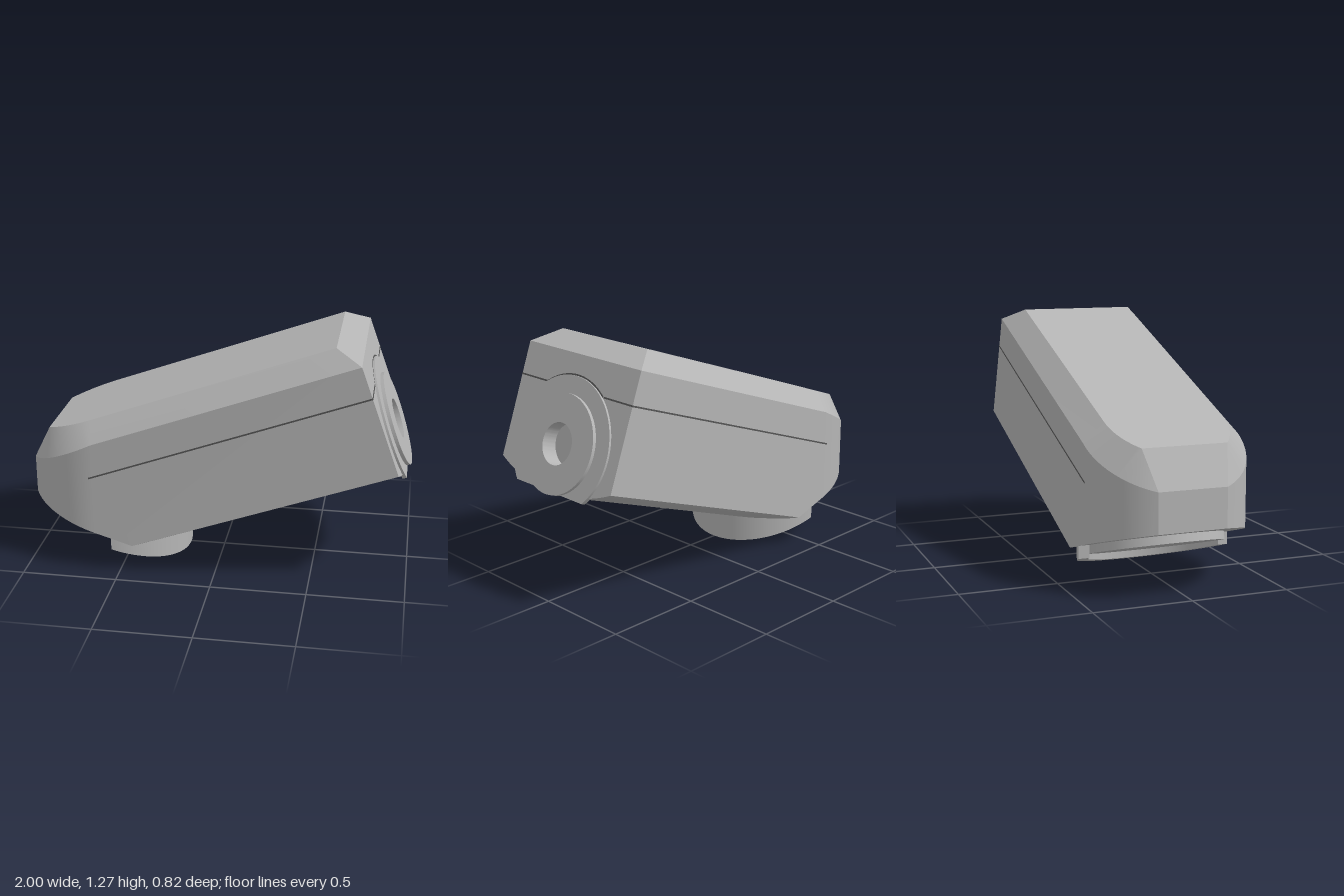
import * as THREE from 'three';
import { toCreasedNormals } from 'three/addons/utils/BufferGeometryUtils.js';
import { ConvexGeometry } from 'three/addons/geometries/ConvexGeometry.js';

const TILT = THREE.MathUtils.degToRad(20);
const C = Math.cos(TILT), S = Math.sin(TILT);
const HALF = 0.41;          // half width of the body
const HOLE = 0.105, HOLE_V = 0.44;

// Height of the rounded underside across the width (tilted frame)
const belly = z => 0.2 + 0.98 - Math.sqrt(0.98 * 0.98 - z * z);

export function createModel() {
  const shell = new THREE.MeshStandardMaterial({ color: 0xb4b4b4 });
  shell.name = 'shell grey';
  const dark = new THREE.MeshStandardMaterial({ color: 0x555555 });
  dark.name = 'seam grey';

  const root = new THREE.Group();
  root.name = 'housing';
  const tilted = new THREE.Group();   // local x runs along the body, y across it
  tilted.name = 'tiltedBody';
  tilted.rotation.z = TILT;
  root.add(tilted);

  const add = (parent, name, geo, mat = shell) => {
    const mesh = new THREE.Mesh(geo, mat);
    mesh.name = name;
    parent.add(mesh);
    return mesh;
  };
  const smooth = geo => toCreasedNormals(geo, 0.35);

  // Main body: a convex hull with chamfered top, rounded nose and curved belly
  const points = [];
  const local = (u, v, z) => points.push(new THREE.Vector3(u, v, z));
  const world = (x, y, z) => local(C * x + S * y, C * y - S * x, z);
  const onPlane = (x, v, z) => world(x, (v + S * x) / C, z);
  const N = 16;
  for (const side of [-1, 1]) {
    local(0.996, 0.985, side * 0.31);
    local(1.1, 0.885, side * HALF);
    for (let i = 0; i <= N; i++) {
      const a = Math.asin(0.25 / 0.355) * i / N;       // top face edge
      onPlane(-0.65 - 0.355 * Math.sin(a), 0.985, side * 0.31 * Math.cos(a));
      const b = Math.asin(0.37 / HALF) * i / N;        // upright nose wall
      const x = -0.63 - HALF * Math.sin(b), z = side * HALF * Math.cos(b);
      onPlane(x, 0.885 + 0.045 * (x + 0.63) / 0.37, z);
      world(x, 0.019 - 0.31 * x, z);
    }
  }
  for (let i = 0; i <= 24; i++) {
    const z = HALF * (i / 12 - 1), v = belly(z);
    local(1.02, v, z);
    onPlane((0.019 * C - v) / (S + 0.31 * C), v, z);
  }
  add(tilted, 'body', smooth(new ConvexGeometry(points)));

  // Plates on the end face are drawn in (z, v) and extruded along the body
  const endPlate = (name, shape, from, to) => {
    shape.holes.push(new THREE.Path().absarc(0, HOLE_V, HOLE, 0, Math.PI * 2, true));
    const geo = new THREE.ExtrudeGeometry(shape, {
      depth: to - from, bevelEnabled: false, curveSegments: 48 });
    geo.rotateY(Math.PI / 2).translate(from, 0, 0);
    add(tilted, name, smooth(geo));
  };
  const wall = new THREE.Shape();
  wall.moveTo(HALF, 0.885).lineTo(-HALF, 0.885);
  for (let i = 0; i <= 24; i++) {
    const z = HALF * (i / 12 - 1);
    wall.lineTo(z, belly(z));
  }
  endPlate('endWall', wall, 1.0, 1.1);

  const cut = Math.asin(0.235 / 0.34);   // outer ring is cut flat at the belly
  const ring = new THREE.Shape().absarc(0, HOLE_V, 0.34, -cut, Math.PI + cut, false);
  endPlate('outerRing', ring, 1.09, 1.112);
  endPlate('innerRing',
    new THREE.Shape().absarc(0, HOLE_V, 0.25, 0, Math.PI * 2, false), 1.1, 1.13);

  // Seam lines along both sides, over the end face and around the ring
  const seamV = 0.716, seamStart = -0.43;
  for (const side of [-1, 1]) {
    const strip = add(tilted, 'sideSeam',
      new THREE.BoxGeometry(1.1 - seamStart, 0.008, 0.004), dark);
    strip.position.set((1.1 + seamStart) / 2, seamV, side * HALF);
    const endStrip = add(tilted, 'endSeam', new THREE.BoxGeometry(0.004, 0.008, 0.2), dark);
    endStrip.position.set(1.1, seamV, side * 0.311);
  }
  const arc = new THREE.RingGeometry(0.34, 0.348, 40, 1, 0.93, Math.PI - 1.86);
  arc.rotateY(Math.PI / 2).translate(1.102, HOLE_V, 0);
  add(tilted, 'ringSeam', arc, dark);

  // Crescent lip under the nose, its lower edge sloping down toward +x
  const lipX = -0.595, span = 1.44;
  const lip = new THREE.Shape();
  lip.absarc(0, 0, 0.408, -span, span, false);
  lip.absarc(0, 0, 0.352, span, -span, true);
  const lipGeo = new THREE.ExtrudeGeometry(lip, {
    depth: 1, bevelEnabled: false, curveSegments: 40 });
  lipGeo.rotateX(Math.PI / 2).translate(lipX, 0, 0);
  const pos = lipGeo.attributes.position;
  for (let i = 0; i < pos.count; i++) {
    const bottom = 0.12 - 0.353 * (pos.getX(i) + 0.54);
    pos.setY(i, pos.getY(i) < -0.5 ? bottom : bottom + 0.2);
  }
  add(root, 'lip', smooth(lipGeo));

  // Round cover plate on the sloping underside
  const cover = add(root, 'coverDisc', new THREE.CylinderGeometry(0.34, 0.34, 0.06, 64));
  cover.rotation.z = -Math.atan(0.31);
  cover.position.set(-0.563, 0.182, 0);

  return root;
}
